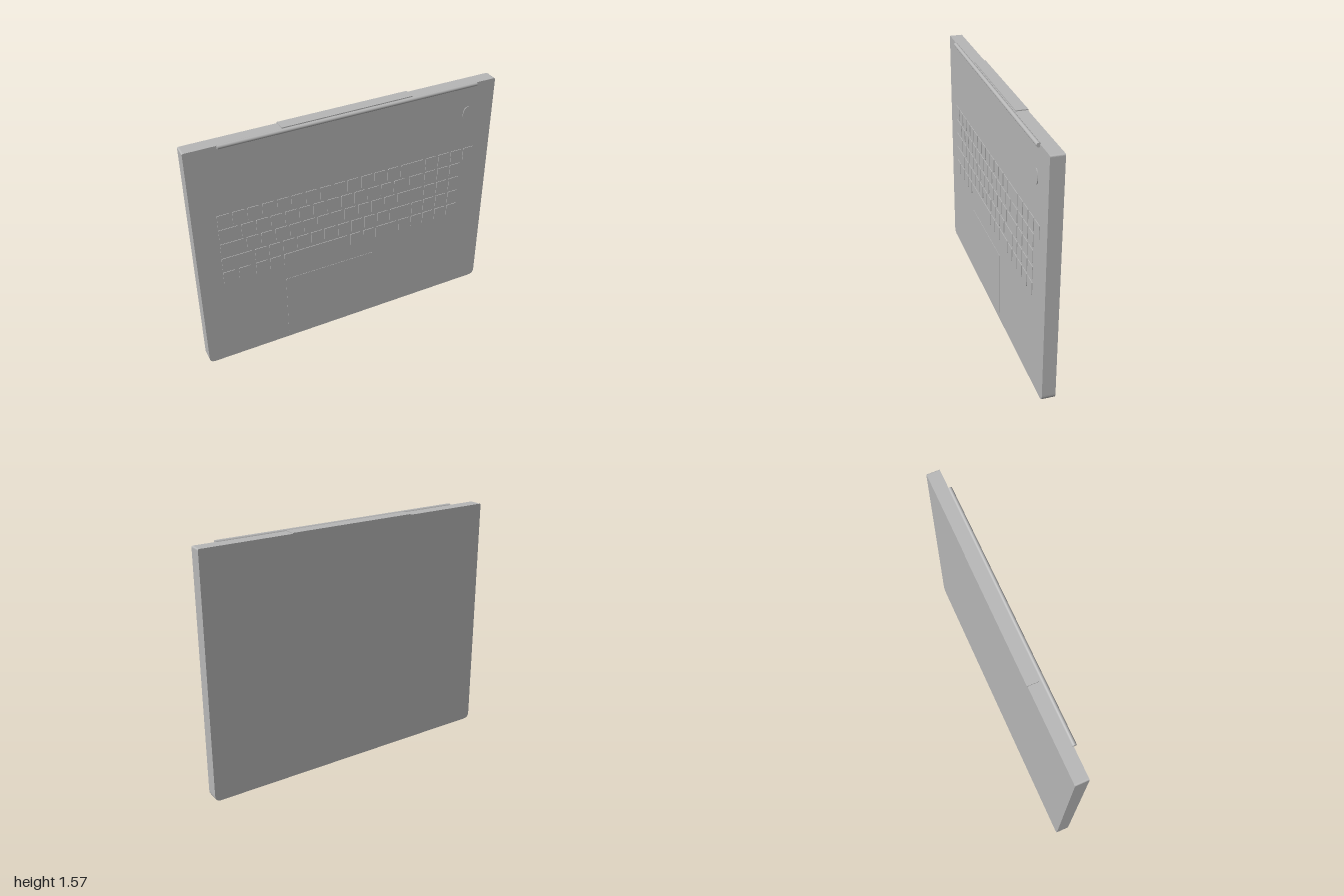
import * as THREE from 'three';

const grey = new THREE.MeshStandardMaterial({ color: 0xb8b8b8 });
grey.name = 'casing grey';

const FRONT = 0.033, BACK = -0.05, TOP = 1.56;

// Rectangle outline with separate lower and upper corner radii
function roundedRect(x0, y0, x1, y1, low, high = low) {
  const s = new THREE.Shape();
  s.moveTo(x0 + low, y0);
  s.lineTo(x1 - low, y0);
  s.quadraticCurveTo(x1, y0, x1, y0 + low);
  s.lineTo(x1, y1 - high);
  s.quadraticCurveTo(x1, y1, x1 - high, y1);
  s.lineTo(x0 + high, y1);
  s.quadraticCurveTo(x0, y1, x0, y1 - high);
  s.lineTo(x0, y0 + low);
  s.quadraticCurveTo(x0, y0, x0 + low, y0);
  return s;
}

function slab(name, shape, z0, z1) {
  const geo = new THREE.ExtrudeGeometry(shape, { depth: z1 - z0, bevelEnabled: false, curveSegments: 8 });
  geo.translate(0, 0, z0);
  const mesh = new THREE.Mesh(geo, grey);
  mesh.name = name;
  return mesh;
}

export function createModel() {
  const model = new THREE.Group();
  model.name = 'laptopBase';

  // Main casing, standing on its front edge
  model.add(slab('casing', roundedRect(-1, 0, 1, TOP, 0.04, 0.01), BACK, FRONT));

  // Raised strip in the middle of the hinge edge
  const strip = new THREE.Mesh(new THREE.BoxGeometry(0.84, 0.008, 0.073), grey);
  strip.name = 'hingeStrip';
  strip.position.set(0, TOP + 0.002, -0.0165);
  model.add(strip);

  // Hinge rod
  const rodGeo = new THREE.CylinderGeometry(0.013, 0.013, 1.665, 16);
  rodGeo.rotateZ(Math.PI / 2);
  const rod = new THREE.Mesh(rodGeo, grey);
  rod.name = 'hingeRod';
  rod.position.set(0.025, 1.556, 0.04);
  model.add(rod);

  // Keyboard: each row lists wide keys [left, right] and runs of standard keys [first, count]
  const keyboard = new THREE.Group();
  keyboard.name = 'keyboard';
  const PITCH = 0.0925, KEY = 0.077;
  const rows = [
    { y: 1.02, wide: [[0.353, 0.515]], runs: [[-0.85, 13], [0.532, 4]] },
    { y: 0.918, wide: [[-0.85, -0.726], [0.418, 0.515]], runs: [[-0.71, 12], [0.532, 3]] },
    { y: 0.815, wide: [[-0.85, -0.7], [0.335, 0.515]], runs: [[-0.685, 11], [0.532, 3]] },
    { y: 0.709, wide: [[-0.85, -0.655], [0.285, 0.43]], runs: [[-0.64, 10], [0.445, 1], [0.532, 3]] },
    { y: 0.604, wide: [[-0.455, -0.017], [0.185, 0.335]], runs: [[-0.85, 1], [-0.75, 1], [-0.64, 2], [0, 2], [0.352, 2], [0.532, 3]] },
  ];
  const addKey = (x0, x1, y) =>
    keyboard.add(slab('key', roundedRect(x0, y, x1, y + 0.086, 0.006), FRONT, FRONT + 0.004));
  for (const { y, wide, runs } of rows) {
    for (const [x0, x1] of wide) addKey(x0, x1, y);
    for (const [first, count] of runs)
      for (let i = 0; i < count; i++) addKey(first + i * PITCH, first + i * PITCH + KEY, y);
  }
  model.add(keyboard);

  // Touchpad
  model.add(slab('touchpad', roundedRect(-0.45, 0.04, 0.17, 0.49, 0.008), FRONT, FRONT + 0.002));

  // Oval power button
  const oval = new THREE.Shape();
  oval.absellipse(0.812, 1.36, 0.03, 0.046, 0, Math.PI * 2);
  model.add(slab('powerButton', oval, FRONT, FRONT + 0.004));

  return model;
}
